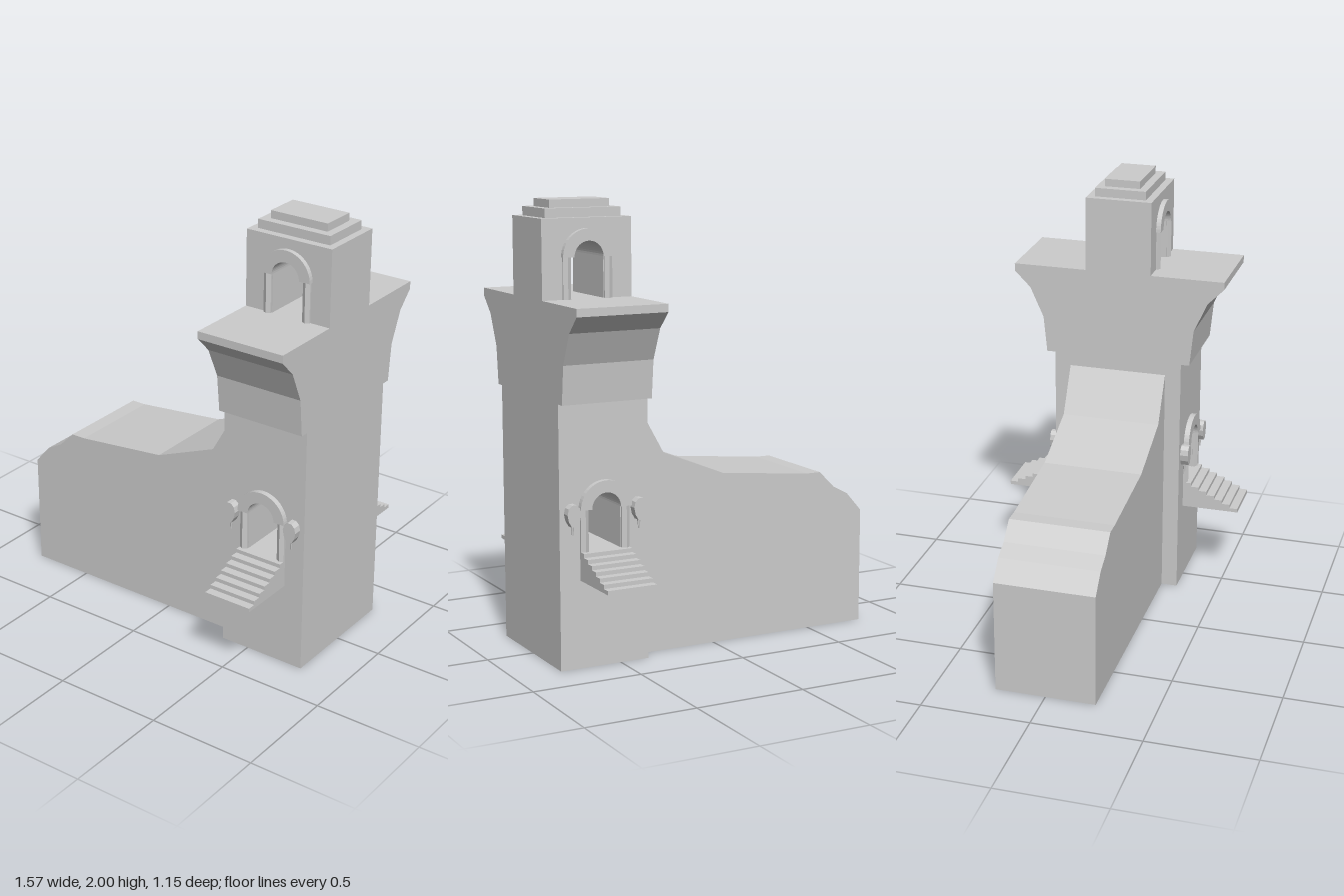
import * as THREE from 'three';

const material = new THREE.MeshStandardMaterial({ color: 0xcccccc, flatShading: true });
const TX = 0.575;          // tower axis
const HALF = 0.21;         // tower half width in x

function add(parent, name, geometry, x = 0, y = 0, z = 0) {
  const mesh = new THREE.Mesh(geometry, material);
  mesh.name = name;
  mesh.position.set(x, y, z);
  parent.add(mesh);
  return mesh;
}

const outline = (pts) => new THREE.Shape(pts.map(([x, y]) => new THREE.Vector2(x, y)));

// Extrusion centred on its own depth
function slab(shape, depth) {
  const g = new THREE.ExtrudeGeometry(shape, { depth, bevelEnabled: false, curveSegments: 12 });
  return g.translate(0, 0, -depth / 2);
}

// Profile given as (z, y), extruded along x
const sideSlab = (pts, width) => slab(outline(pts), width).rotateY(-Math.PI / 2);

// Round-headed opening around x = 0
function archPath(path, floor, spring) {
  path.moveTo(-0.076, floor);
  path.lineTo(0.076, floor);
  path.lineTo(0.076, spring);
  path.lineTo(0.068, spring);
  path.absarc(0, spring, 0.068, 0, Math.PI, false);
  path.lineTo(-0.076, spring);
  path.closePath();
  return path;
}

// Arch ring carried by two six-sided columns
function portal(name, floor, spring) {
  const group = new THREE.Group();
  group.name = name;
  const ring = new THREE.Shape();
  ring.absarc(0, spring, 0.121, 0, Math.PI, false);
  ring.absarc(0, spring, 0.068, Math.PI, 0, true);
  ring.closePath();
  add(group, 'archRing', slab(ring, 0.05));
  for (const s of [-1, 1]) {
    const h = spring - floor;
    add(group, 'column', new THREE.CylinderGeometry(0.021, 0.021, h, 6), s * 0.097, floor + h / 2, 0);
  }
  return group;
}

// Hanging lamp with a faceted body and a pointed drop
function lamp() {
  const group = new THREE.Group();
  group.name = 'lamp';
  const body = outline([[-0.012, 0.635], [0.012, 0.635], [0.026, 0.66], [0.032, 0.69],
    [0.026, 0.715], [0.01, 0.73], [-0.01, 0.73], [-0.026, 0.715], [-0.032, 0.69], [-0.026, 0.66]]);
  add(group, 'lampBody', slab(body, 0.04), 0, 0, 0.02);
  add(group, 'lampDrop', new THREE.CylinderGeometry(0.008, 0.003, 0.042, 6), 0, 0.616, 0.018);
  return group;
}

// Staircase against a wall at z = 0, climbing towards it
function stairs() {
  const n = 7, run = 0.27 / n, rise = 0.125 / n;
  const pts = [[0, 0.39], [0.27, 0.39]];
  for (let i = 0; i < n; i++) {
    pts.push([0.27 - i * run, 0.39 + (i + 1) * rise], [0.27 - (i + 1) * run, 0.39 + (i + 1) * rise]);
  }
  return sideSlab(pts, 0.23);
}

export function createModel() {
  const model = new THREE.Group();
  model.name = 'towerBuilding';

  // Long hall with a sloping, stepped roof line
  add(model, 'hall', slab(outline([[-0.785, 0], [0.37, 0], [0.37, 1.108], [0.365, 1.1], [0.25, 0.895],
    [-0.05, 0.775], [-0.49, 0.73], [-0.56, 0.73], [-0.635, 0.655], [-0.71, 0.615], [-0.785, 0.53]]), 0.46));

  const tower = new THREE.Group();
  tower.name = 'tower';
  tower.position.x = TX;
  model.add(tower);

  // Shaft with a passage right through it
  const shaft = outline([[-HALF, 0], [HALF, 0], [HALF, 1.16], [-HALF, 1.16]]);
  shaft.holes.push(archPath(new THREE.Path(), 0.515, 0.7));
  add(tower, 'shaft', slab(shaft, 0.61));

  // Flaring head
  const flare = [[0.345, 1.16], [0.362, 1.33], [0.425, 1.47], [0.5, 1.545], [0.5, 1.58]];
  const mirrored = flare.map(([z, y]) => [-z, y]).reverse();
  add(tower, 'flaredHead', sideSlab([...flare, ...mirrored], HALF * 2));

  // Belfry, open at the floor, with two roof tiers
  const belfry = outline([[-HALF, 1.58], [-0.076, 1.58], [-0.076, 1.76], [-0.068, 1.76]]);
  belfry.absarc(0, 1.76, 0.068, Math.PI, 0, true);
  for (const [x, y] of [[0.076, 1.76], [0.076, 1.58], [HALF, 1.58], [HALF, 1.925], [-HALF, 1.925]]) belfry.lineTo(x, y);
  belfry.closePath();
  add(tower, 'belfry', slab(belfry, 0.31));
  add(tower, 'lowerRoofTier', new THREE.BoxGeometry(0.355, 0.04, 0.24), 0, 1.945, 0);
  add(tower, 'upperRoofTier', new THREE.BoxGeometry(0.28, 0.036, 0.165), 0, 1.982, 0);

  // Same fittings on the front and the back
  for (const turn of [0, Math.PI]) {
    const face = new THREE.Group();
    face.name = turn ? 'backFittings' : 'frontFittings';
    face.rotation.y = turn;
    tower.add(face);

    const door = portal('doorway', 0.515, 0.7);
    door.position.z = 0.305;
    const bellArch = portal('belfryArch', 1.58, 1.76);
    bellArch.position.z = 0.152;
    face.add(door, bellArch);

    add(face, 'stairs', stairs(), 0, 0, 0.305);
    for (const s of [-1, 1]) {
      const l = lamp();
      l.position.set(s * 0.157, 0, 0.303);
      face.add(l);
    }
  }
  return model;
}
